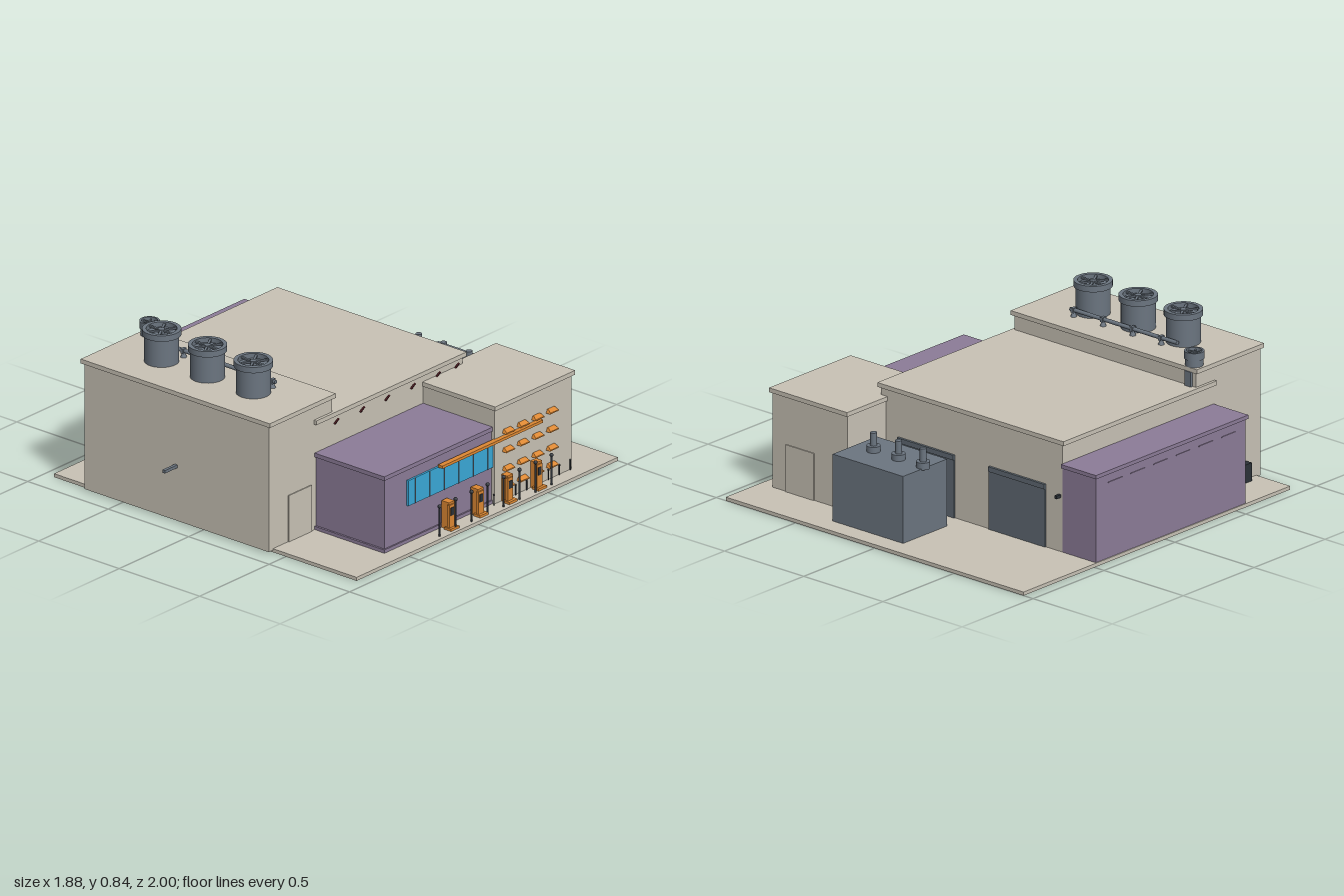
import * as THREE from 'three';

const mat = (color, side = THREE.FrontSide) => new THREE.MeshStandardMaterial({ color, side });
const M = {
  wall: mat(0xc8c2b5), purple: mat(0x8c7c98), steel: mat(0x6b7580), door: mat(0x5f6972),
  orange: mat(0xdd8833), glass: mat(0x3aa8d8), dark: mat(0x2c3137), red: mat(0x6a2830),
};

export function createModel() {
  const root = new THREE.Group();

  const add = (name, geo, m, x = 0, y = 0, z = 0, parent = root) => {
    const mesh = new THREE.Mesh(geo, m);
    mesh.name = name;
    mesh.position.set(x, y, z);
    parent.add(mesh);
    return mesh;
  };
  // box given by its extents on each axis
  const box = (name, m, x0, x1, y0, y1, z0, z1, parent = root) =>
    add(name, new THREE.BoxGeometry(x1 - x0, y1 - y0, z1 - z0), m,
      (x0 + x1) / 2, (y0 + y1) / 2, (z0 + z1) / 2, parent);
  const cyl = (name, m, r, y0, y1, x, z, parent = root, seg = 24) =>
    add(name, new THREE.CylinderGeometry(r, r, y1 - y0, seg), m, x, (y0 + y1) / 2, z, parent);
  const group = (name) => {
    const g = new THREE.Group();
    g.name = name;
    root.add(g);
    return g;
  };

  // ground slab and building volumes with overhanging roofs
  box('groundSlab', M.wall, -0.94, 0.94, 0, 0.018, -1, 0.88);
  box('frontBlock', M.wall, -0.725, 0.42, 0.01, 0.655, 0.455, 0.91);
  box('frontBlockRoof', M.wall, -0.74, 0.435, 0.653, 0.675, 0.445, 0.92);
  box('mainHall', M.wall, -0.725, 0.42, 0.01, 0.56, -0.485, 0.455);
  box('mainHallRoof', M.wall, -0.74, 0.435, 0.558, 0.58, -0.495, 0.585);
  box('leftAnnex', M.purple, -0.935, -0.725, 0.01, 0.445, -0.485, 0.57);
  box('leftAnnexRoof', M.purple, -0.945, -0.725, 0.443, 0.462, -0.495, 0.58);
  box('rightAnnex', M.purple, 0.42, 0.845, 0.01, 0.39, -0.2, 0.57);
  box('rightAnnexRoof', M.purple, 0.42, 0.853, 0.389, 0.41, -0.2, 0.58);
  box('rightAnnexPlinth', M.purple, 0.42, 0.853, 0.018, 0.035, -0.2, 0.58);
  box('cornerBlock', M.wall, 0.39, 0.863, 0.01, 0.5, -0.755, -0.2);
  box('cornerBlockRoof', M.wall, 0.38, 0.873, 0.498, 0.52, -0.77, -0.195);

  // doors
  box('sideDoor', M.wall, 0.415, 0.425, 0.018, 0.255, 0.605, 0.77);
  box('backDoor', M.wall, 0.6, 0.78, 0.018, 0.255, -0.76, -0.75);
  for (const x of [-0.62, -0.045]) {
    box('rollerDoor', M.door, x, x + 0.355, 0.018, 0.31, -0.492, -0.48);
    box('rollerDoorHousing', M.door, x, x + 0.355, 0.31, 0.335, -0.497, -0.48);
  }
  box('backLamp', M.dark, -0.715, -0.7, 0.29, 0.305, -0.515, -0.485);

  // cooling units: open drum with hub and fan blades
  const drum = (name, r, h, rimH, x, y, z) => {
    const g = group(name);
    g.position.set(x, y, z);
    const R = r * 1.12, inner = r * 0.88, t = h - rimH;
    const pts = [[0, 0], [r, 0], [r, 0], [r, t], [r, t], [R, t], [R, t], [R, h], [R, h],
      [inner, h], [inner, h], [inner, h - rimH * 0.8], [inner, h - rimH * 0.8], [0, h - rimH * 0.8]];
    const shell = new THREE.LatheGeometry(pts.map((p) => new THREE.Vector2(...p)), 32);
    add('drumShell', shell, mat(0x6b7580, THREE.DoubleSide), 0, 0, 0, g);
    cyl('fanHub', M.steel, r * 0.2, h - rimH * 0.8, h - rimH * 0.1, 0, 0, g, 16);
    for (let i = 0; i < 3; i++) {
      const bar = box('fanBar', M.steel, -inner, inner, h - rimH * 0.45, h - rimH * 0.2, -r * 0.07, r * 0.07, g);
      bar.rotation.y = (i * Math.PI) / 3;
    }
  };
  for (const x of [-0.44, -0.155, 0.13]) drum('coolingUnit', 0.083, 0.168, 0.03, x, 0.673, 0.685);
  drum('smallVent', 0.043, 0.075, 0.038, -0.685, 0.673, 0.488);
  box('ventDuct', M.steel, -0.705, -0.665, 0.58, 0.655, 0.44, 0.456);

  // roof pipe on saddles
  const pipe = cyl('roofPipe', M.steel, 0.01, -0.3375, 0.3375, 0, 0);
  pipe.rotation.z = Math.PI / 2;
  pipe.position.set(-0.155, 0.708, 0.585);
  for (const x of [-0.39, -0.21, -0.023, 0.163]) {
    add('pipeSaddle', new THREE.CylinderGeometry(0.006, 0.016, 0.03, 8), M.steel, x, 0.688, 0.585);
    box('pipeClamp', M.steel, x - 0.008, x + 0.008, 0.696, 0.72, 0.572, 0.598);
  }

  // front spout and cabinet on the left wall
  box('frontSpout', M.steel, -0.163, -0.147, 0.282, 0.297, 0.905, 1);
  box('wallCabinet', M.dark, -0.76, -0.72, 0.018, 0.11, 0.69, 0.81);
  const conduit = cyl('cabinetConduit', M.dark, 0.006, 0.1, 0.15, -0.732, 0.75, root, 8);
  conduit.rotation.z = -0.25;

  // transformer with three bushings
  box('transformer', M.steel, -0.09, 0.355, 0.01, 0.355, -0.9, -0.59);
  for (const x of [-0.075, 0.08, 0.238]) {
    cyl('bushingBase', M.steel, 0.033, 0.35, 0.385, x, -0.742);
    cyl('bushingPost', M.steel, 0.016, 0.38, 0.45, x, -0.742);
  }

  // window band with mullions
  box('windowBand', M.glass, 0.835, 0.856, 0.205, 0.335, -0.2, 0.41);
  for (let i = 0; i < 6; i++) {
    const z = 0.36 - i * 0.104;
    box('mullion', M.steel, 0.85, 0.859, 0.205, 0.335, z - 0.002, z + 0.002);
  }

  // canopy beam and sloping awnings
  box('canopyBeam', M.orange, 0.858, 0.886, 0.336, 0.35, -0.525, 0.2);
  const awningShape = new THREE.Shape([[0, 0], [0.028, 0], [0.028, 0.006], [0.01, 0.018], [0, 0.018]]
    .map((p) => new THREE.Vector2(...p)));
  const awning = new THREE.ExtrudeGeometry(awningShape, { depth: 0.066, bevelEnabled: false });
  awning.translate(0, 0, -0.033);
  const ap = awning.attributes.position;
  for (let i = 0; i < ap.count; i++) ap.setZ(i, ap.getZ(i) * (1 - 15 * ap.getY(i)));
  awning.computeVertexNormals();
  for (const y of [0.362, 0.267, 0.172, 0.083])
    for (const z of [-0.29, -0.395, -0.5, -0.605]) add('awning', awning, M.orange, 0.86, y, z);

  // kiosks with stepped frames
  for (const z of [0.15, -0.06, -0.27, -0.48]) {
    const g = group('kiosk');
    box('kioskBody', M.orange, 0.853, 0.9, 0.018, 0.155, z - 0.021, z + 0.019, g);
    box('kioskFront', M.orange, 0.893, 0.907, 0.018, 0.145, z - 0.014, z + 0.024, g);
    box('kioskFoot', M.orange, 0.88, 0.922, 0.018, 0.03, z - 0.03, z + 0.03, g);
    box('kioskScreen', M.dark, 0.9, 0.909, 0.09, 0.13, z - 0.006, z + 0.016, g);
  }

  // lamp posts and short bollards along the kerb
  for (let i = 0; i < 8; i++) {
    const z = 0.255 - i * 0.115;
    cyl('lampPost', M.dark, 0.005, 0.018, 0.17, 0.916, z, root, 8);
    add('lampGlobe', new THREE.SphereGeometry(0.01, 12, 8), M.dark, 0.916, 0.17, z);
    const zb = -0.19 - i * 0.0785;
    cyl('bollard', M.dark, 0.003, 0.018, 0.07, 0.869, zb, root, 8);
    add('bollardCap', new THREE.SphereGeometry(0.005, 8, 6), M.dark, 0.869, 0.07, zb);
  }

  // slanted floodlights below the hall eave
  for (const z of [0.44, 0.255, 0.075, -0.11, -0.29, -0.425]) {
    const lamp = box('eaveLamp', M.red, 0.412, 0.452, 0.528, 0.536, z - 0.004, z + 0.004);
    lamp.rotation.z = 0.95;
    lamp.position.x = 0.436;
  }

  // joint strips on the left annex
  for (let i = 0; i < 6; i++) {
    const z = -0.4 + i * 0.16;
    box('wallStrip', M.purple, -0.939, -0.93, 0.395, 0.4, z, z + 0.1);
  }
  return root;
}
